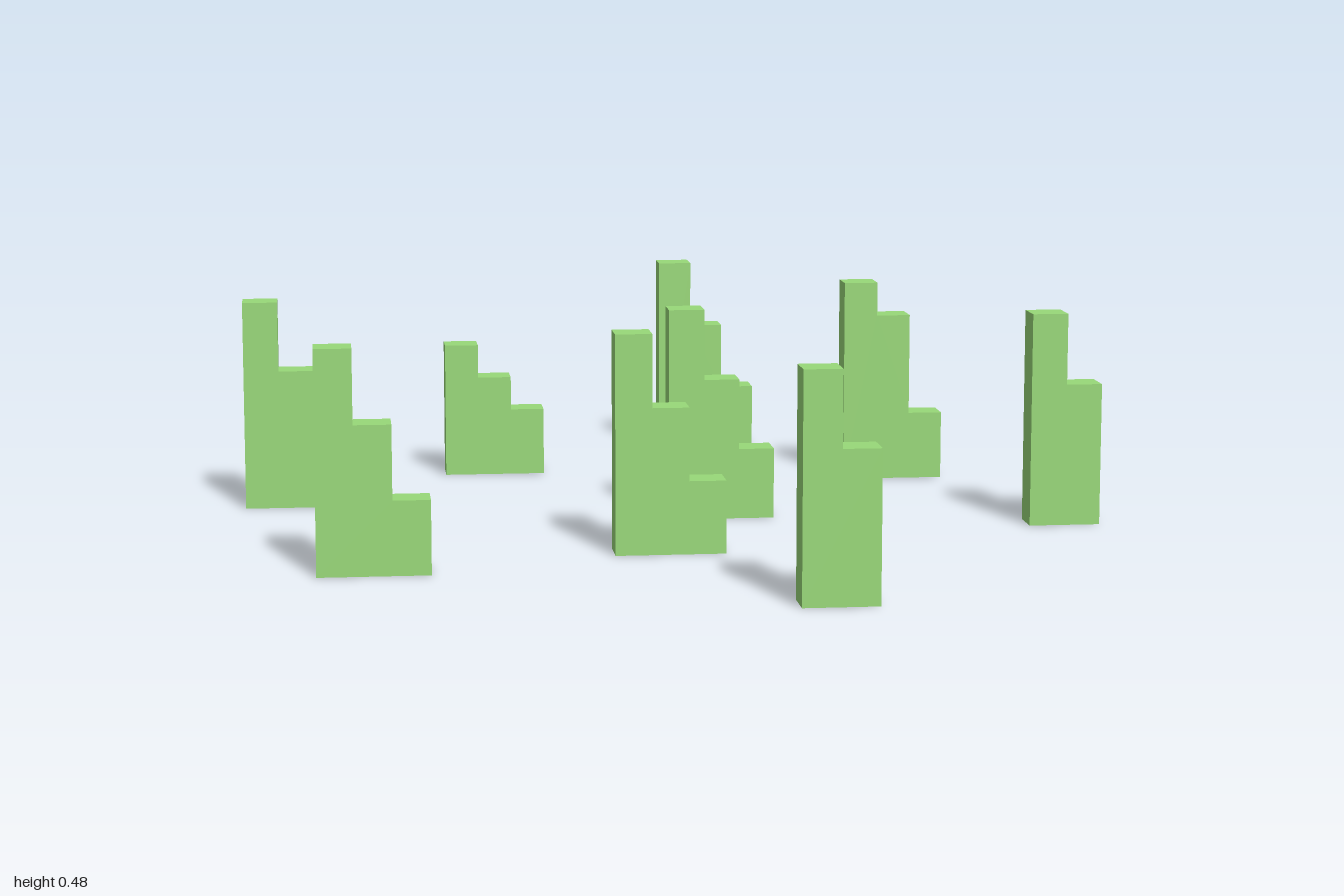
import * as THREE from 'three';

const U = 0.08; // width and depth of one step

export function createModel() {
  const model = new THREE.Group();
  model.name = 'grass';
  const green = new THREE.MeshStandardMaterial({ color: 0x98d878 });
  green.name = 'grass green';

  // one stepped blade: columns of falling height, one step deep
  function blade(x, z, heights) {
    const outline = new THREE.Shape();
    outline.moveTo(0, 0);
    outline.lineTo(heights.length * U, 0);
    for (let i = heights.length - 1; i >= 0; i--) {
      outline.lineTo((i + 1) * U, heights[i] * U);
      outline.lineTo(i * U, heights[i] * U);
    }
    outline.closePath();
    const geometry = new THREE.ExtrudeGeometry(outline, { depth: U, bevelEnabled: false });
    const mesh = new THREE.Mesh(geometry, green);
    mesh.name = 'grassBlade';
    mesh.position.set(x, 0, z - U / 2);
    model.add(mesh);
  }

  // left edge, centre depth, column heights in steps
  const blades = [
    [0.08, -0.96, [6, 4, 2]],
    [-0.48, -0.64, [4, 3, 2]],
    [0.48, -0.48, [6, 5, 2]],
    [-0.96, -0.24, [6, 4, 2]],
    [0, 0, [6, 4, 2]],
    [0.8, 0.16, [6, 4]],
    [-0.16, 0.4, [6, 4, 2]],
    [-0.8, 0.56, [6, 4, 2]],
    [0.16, 0.96, [6, 4]],
  ];
  for (const [x, z, heights] of blades) blade(x, z, heights);

  return model;
}
